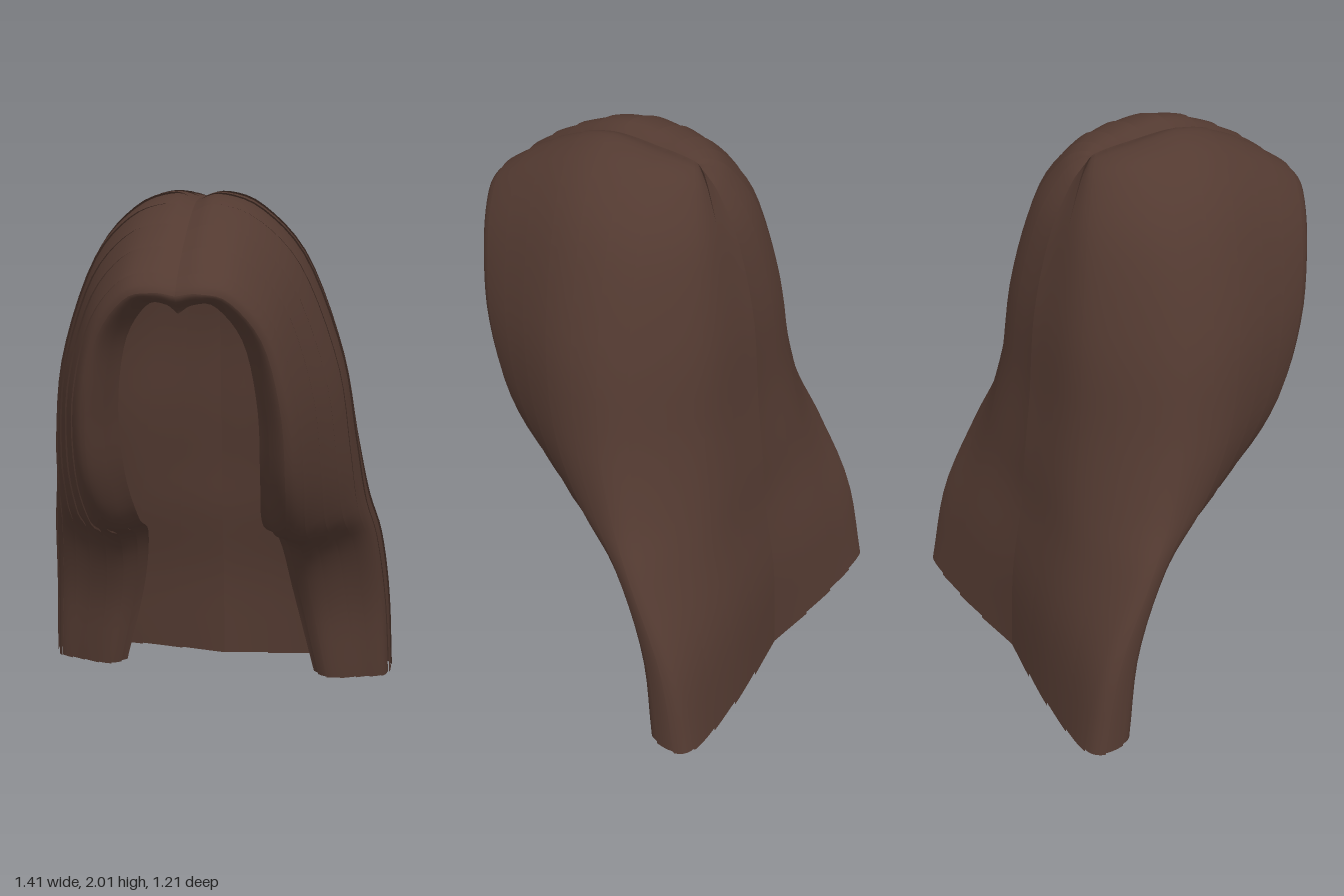
import * as THREE from 'three';

const V = (x, y, z) => new THREE.Vector3(x, y, z);
const curve = (pts) => new THREE.CatmullRomCurve3(pts, false, 'catmullrom', 0.5);

// Guide strands of the left half, each running from the parting to the hem
const front = [[0, 1.75, .6], [.08, 1.76, .6], [.18, 1.73, .58], [.29, 1.58, .53], [.35, 1.32, .48],
  [.36, 1.03, .385], [.35, .8, .19], [.37, .63, -.15], [.4, .35, -.31], [.46, 0, -.37]];
const side = [[0, 1.98, .2], [.08, 2, .18], [.22, 1.945, .15], [.37, 1.77, .1], [.5, 1.42, .05],
  [.55, 1.1, 0], [.58, .85, -.1], [.62, .65, -.25], [.655, .35, -.38], [.68, 0, -.44]];
const corner = [[0, 1.975, -.03], [.08, 1.985, -.05], [.19, 1.94, -.08], [.34, 1.76, -.12], [.46, 1.42, -.16],
  [.52, 1.1, -.2], [.57, .85, -.27], [.62, .65, -.36], [.65, .35, -.5], [.665, 0, -.575]];
const back = [[1.945, -.17], [1.92, -.2], [1.86, -.25], [1.7, -.33], [1.42, -.4],
  [1.1, -.43], [.85, -.46], [.65, -.48], [.35, -.53], [0, -.55]];

// Cross-section at each step down the guides, from inner front edge to centre back
const rows = front.map((f, i) => {
  const v = i / (front.length - 1);
  const F = V(...f), S = V(...side[i]), C = V(...corner[i]), B = V(0, ...back[i]);
  // The front edge curls inwards, most of all at the chin
  const curl = V(-0.12 * Math.sin(0.8 * Math.PI * v), -0.08 * Math.max(0, 1 - 1.8 * v), -0.05 - 0.06 * Math.sin(Math.PI * v));
  // Cheek and nape bulge out from the straight line between their neighbours
  const cheek = F.clone().lerp(S, 0.5).lerp(V(S.x, S.y, F.z), 0.15);
  const nape = C.clone().lerp(B, 0.5);
  nape.z += 0.4 * (Math.min(C.z, B.z) - 0.05 - nape.z);
  nape.x *= 1.15;
  return curve([F.clone().add(curl), F, cheek, S, C, nape, B]);
});

// One strand at any place across the half: 0 is the front edge, 1 the centre back
const strand = (u) => curve(rows.map((r) => r.getPoint(u)));

const LOCKS = 13, ACROSS = 5, DOWN = 40, LIFT = 0.008;

// One lock of hair; its front side is lifted slightly over the lock before it
function lockGeometry(k, sign) {
  const u0 = Math.max(0, (k - 0.12) / LOCKS), u1 = (k + 1) / LOCKS;
  const pos = [], idx = [];
  for (let i = 0; i <= ACROSS; i++) {
    const t = i / ACROSS, u = u0 + (u1 - u0) * t;
    const path = strand(u);
    const before = strand(Math.max(0, u - 0.01)), after = strand(Math.min(1, u + 0.01));
    const lift = k === 0 ? 0 : LIFT * (1 - t);
    for (let j = 0; j <= DOWN; j++) {
      const v = j / DOWN;
      const p = path.getPoint(v);
      const across = after.getPoint(v).sub(before.getPoint(v));
      const out = path.getTangent(v).cross(across).normalize();
      p.addScaledVector(out, lift * Math.min(1, v * 8));
      pos.push(sign * Math.max(0, p.x), Math.max(0, p.y), p.z);
    }
  }
  const w = DOWN + 1;
  for (let i = 0; i < ACROSS; i++) {
    for (let j = 0; j < DOWN; j++) {
      const a = i * w + j, b = a + w, c = a + 1, d = b + 1;
      if (sign > 0) idx.push(a, c, b, b, c, d);
      else idx.push(a, b, c, b, d, c);
    }
  }
  const g = new THREE.BufferGeometry();
  g.setAttribute('position', new THREE.Float32BufferAttribute(pos, 3));
  g.setIndex(idx);
  g.computeVertexNormals();
  return g;
}

export function createModel() {
  const hair = new THREE.MeshStandardMaterial({ color: 0x533a31, side: THREE.DoubleSide });
  hair.name = 'dark brown hair';
  const model = new THREE.Group();
  model.name = 'longHair';

  // Mirrored halves, meeting at the parting and the centre back
  for (const sign of [1, -1]) {
    const half = new THREE.Group();
    half.name = sign > 0 ? 'leftHair' : 'rightHair';
    for (let k = 0; k < LOCKS; k++) {
      const lock = new THREE.Mesh(lockGeometry(k, sign), hair);
      lock.name = k === 0 ? 'faceFramingLock' : k > 9 ? 'backLock' : 'sideLock';
      half.add(lock);
    }
    model.add(half);
  }
  return model;
}
